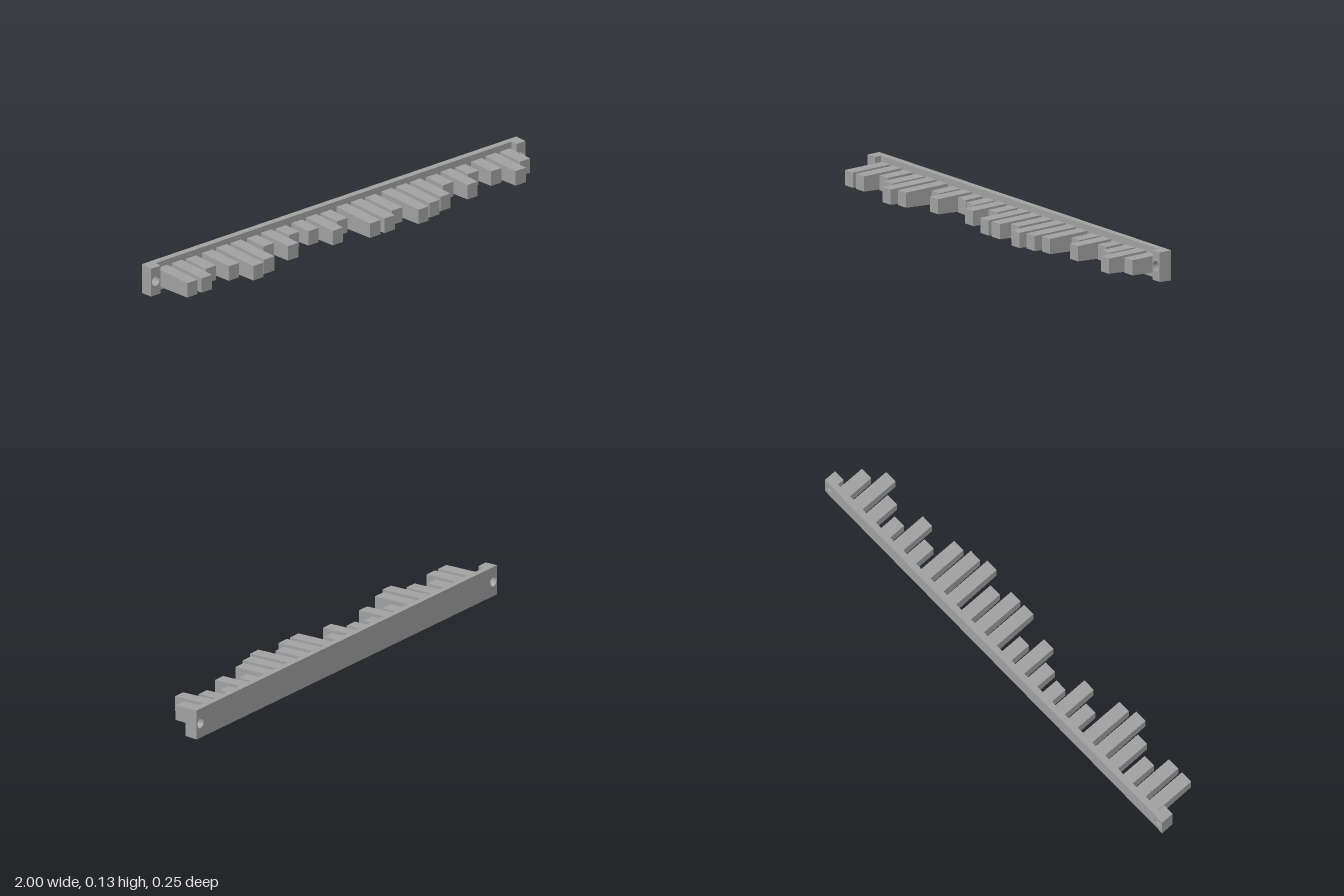
import * as THREE from 'three';

const MID = 0.063;       // height of the centre line
const BACK = -0.127;     // rear face of the bar
const DRAFT = 0.035;     // slope of top and bottom faces

// Move top and bottom vertices towards the centre line as z grows
function addDraft(geo, tipZ, tipHalf) {
  const p = geo.attributes.position;
  for (let i = 0; i < p.count; i++) {
    const half = tipHalf + (tipZ - p.getZ(i)) * DRAFT;
    p.setY(i, MID + (p.getY(i) - MID) * half / tipHalf);
  }
  geo.computeVertexNormals();
  return geo;
}

// Upright rectangle with round screw holes, extruded from z0 to z1
function drilledPlate(x0, x1, holes, z0, z1) {
  const h = 0.061;
  const s = new THREE.Shape([
    new THREE.Vector2(x0, MID - h), new THREE.Vector2(x1, MID - h),
    new THREE.Vector2(x1, MID + h), new THREE.Vector2(x0, MID + h),
  ]);
  for (const x of holes) s.holes.push(new THREE.Path().absarc(x, MID, 0.021, 0, Math.PI * 2, true));
  const geo = new THREE.ExtrudeGeometry(s, { depth: z1 - z0, bevelEnabled: false, curveSegments: 12 });
  geo.translate(0, 0, z0);
  return addDraft(geo, -0.07, h);
}

export function createModel() {
  const group = new THREE.Group();
  const grey = new THREE.MeshStandardMaterial({ color: 0xa0a0a0 });
  grey.name = 'grey';
  const add = (name, geo) => {
    const m = new THREE.Mesh(geo, grey);
    m.name = name;
    group.add(m);
  };

  // Backing bar and the thicker mounting ends
  add('backBar', drilledPlate(-1, 1, [-0.975, 0.975], BACK, -0.1));
  add('leftEnd', drilledPlate(0.95, 1, [0.975], -0.1, -0.07));
  add('rightEnd', drilledPlate(-1, -0.95, [-0.975], -0.1, -0.07));

  // Teeth in groups of three; each digit is how many steps the tooth is cut short
  const cuts = ['225', '301', '637', '636', '113', '012', '637', '525'];
  cuts.forEach((code, g) => {
    [...code].forEach((step, t) => {
      const tip = 0.127 - 0.0207 * Number(step);
      const root = -0.102;
      const geo = new THREE.BoxGeometry(0.055, 0.063, tip - root);
      geo.translate((g - 3.5) * 0.2395 + (t - 1) * 0.0765, MID, (tip + root) / 2);
      add('tooth', addDraft(geo, tip, 0.0315));
    });
  });
  return group;
}
